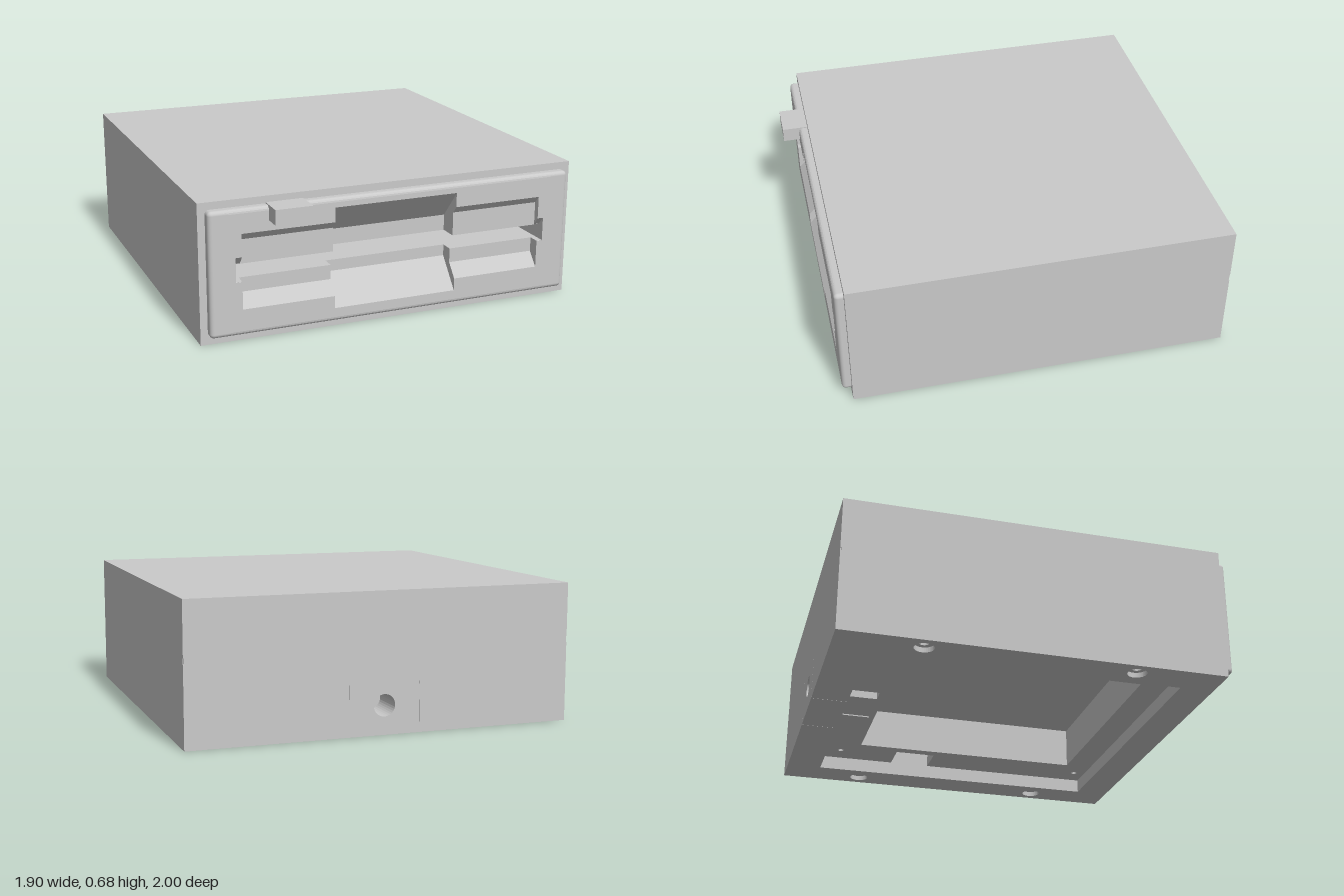
import * as THREE from 'three';
import { RoundedBoxGeometry } from 'three/addons/geometries/RoundedBoxGeometry.js';

export function createModel() {
  const group = new THREE.Group();
  const grey = new THREE.MeshStandardMaterial({ color: 0xcacaca });
  grey.name = 'grey';

  const add = (name, geometry) => {
    const mesh = new THREE.Mesh(geometry, grey);
    mesh.name = name;
    group.add(mesh);
  };
  // box given by its limits
  const box = (name, x0, x1, y0, y1, z0, z1) =>
    add(name, new THREE.BoxGeometry(x1 - x0, y1 - y0, z1 - z0)
      .translate((x0 + x1) / 2, (y0 + y1) / 2, (z0 + z1) / 2));
  const polygon = pts => new THREE.Shape(pts.map(p => new THREE.Vector2(...p)));
  const circle = (x, y, r) => new THREE.Path().absarc(x, y, r, 0, Math.PI * 2);
  const extrude = (shape, depth) =>
    new THREE.ExtrudeGeometry(shape, { depth, bevelEnabled: false, curveSegments: 16 });
  // outline in (x, z), thickened from y0 to y1
  const slab = (name, shape, y0, y1) =>
    add(name, extrude(shape, y1 - y0).rotateX(Math.PI / 2).translate(0, y1, 0));
  // outline in (z, y), thickened from x0 to x1
  const slice = (name, pts, x0, x1) =>
    add(name, extrude(polygon(pts), x1 - x0).rotateY(-Math.PI / 2).translate(x1, 0, 0));

  const W = 0.95, H = 0.675;
  const CEIL = 0.28, BOARD = 0.07;              // heights of window ceiling and board
  const RX = 0.77, RZ0 = -0.82, RZ1 = 0.7;      // limits of the underside recess

  // main body above the underside cavity
  box('caseBody', -W, W, CEIL, H, RZ0, 0.4);

  // rear wall with connector hole, two hairline slits and tiny corner notches
  const rearWall = (name, z0, z1, notch) => {
    const slit = [[0.175, 0], [0.175, 0.245], [0.1765, 0.245], [0.1765, 0], [W, 0]];
    const nick = notch ? [[W, 0.385], [W - notch, 0.385], [W - notch, 0.415], [W, 0.415]] : [];
    const right = [...slit, ...nick, [W, H]];
    const left = right.map(([x, y]) => [-x, y]).reverse();
    const shape = polygon([...right, ...left]);
    shape.holes.push(circle(0, 0.14, 0.053));
    add(name, extrude(shape, z1 - z0).translate(0, 0, z0));
  };
  rearWall('rearSkin', -1, -0.995, 0.005);
  rearWall('rearWall', -0.995, RZ0, 0);

  // underside frame with four mounting holes
  const frame = polygon([[-W, RZ0], [-RX, RZ0], [-RX, RZ1], [RX, RZ1],
    [RX, RZ0], [W, RZ0], [W, 0.78], [-W, 0.78]]);
  for (const x of [-0.87, 0.87]) for (const z of [-0.585, 0.44]) {
    frame.holes.push(circle(x, z, 0.048));
    const ring = new THREE.Shape().absarc(x, z, 0.05, 0, Math.PI * 2);
    ring.holes.push(circle(x, z, 0.025));
    slab('mountingHoleSeat', ring, 0.025, 0.05);
  }
  slab('undersideFrame', frame, 0, CEIL);

  // recessed underside board: notched edges, a large window and four small holes
  const board = polygon([[-RX, RZ0], [-0.17, RZ0], [-0.17, -0.66], [-0.09, -0.66],
    [-0.09, RZ0], [RX, RZ0], [RX, -0.42], [0.6, -0.42], [0.6, -0.21], [RX, -0.21],
    [RX, RZ1], [-RX, RZ1], [-RX, -0.2], [-0.66, -0.2], [-0.66, -0.4], [-RX, -0.4]]);
  board.holes.push(polygon([[-0.615, -0.63], [0.545, -0.63], [0.545, 0.56], [-0.615, 0.56]]));
  for (const x of [-0.705, 0.655]) for (const z of [-0.725, 0.64]) {
    board.holes.push(circle(x, z, 0.015));
  }
  slab('undersideBoard', board, BOARD, CEIL);
  box('boardStep', 0.14, 0.62, BOARD - 0.006, BOARD + 0.01, RZ0, -0.66);

  // front: jaws above and below the slot, all sloping inwards at one angle
  const FRONT = 0.915, R = 0.02, SLOPE = 0.862;
  const round = (cy, a0) => [0, 1, 2, 3, 4].map(i => {
    const a = a0 + i * Math.PI / 8;
    return [FRONT - R + R * Math.cos(a), cy + R * Math.sin(a)];
  });
  const bottomEdge = round(0.06, -Math.PI / 2), topEdge = round(0.62, 0);
  const jaws = (x0, x1, lowFront, lowBack, highBack, highFront) => {
    const lowZ = FRONT - SLOPE * (lowBack - lowFront);
    const highZ = FRONT - SLOPE * (highFront - highBack);
    slice('lowerJaw', [[0.78, 0], [0.87, 0], [0.87, 0.04], ...bottomEdge,
      [FRONT, lowFront], [lowZ, lowBack], [lowZ, 0.3], [0.4, 0.3],
      [0.4, CEIL], [0.78, CEIL]], x0, x1);
    slice('upperJaw', [[0.4, 0.375], [highZ, 0.375], [highZ, highBack], [FRONT, highFront],
      ...topEdge, [0.87, 0.64], [0.87, H], [0.4, H]], x0, x1);
  };
  jaws(-0.31, 0.31, 0.105, 0.245, 0.452, 0.595);
  for (const [x0, x1] of [[-0.76, -0.31], [0.31, 0.76]]) jaws(x0, x1, 0.165, 0.23, 0.49, 0.525);
  for (const [x0, x1] of [[-0.79, -0.76], [0.76, 0.79]]) jaws(x0, x1, 0.298, 0.299, 0.376, 0.415);

  // solid ends of the front, with rounded bezel edges
  for (const s of [-1, 1]) {
    const span = (a, b) => s > 0 ? [a, b] : [-b, -a];
    box('frontCaseSide', ...span(0.79, W), CEIL, H, 0.4, 0.87);
    box('frontCaseFoot', ...span(0.79, W), 0, CEIL, 0.78, 0.87);
    slice('bezelSide', [[0.85, 0.04], ...bottomEdge, ...topEdge, [0.85, 0.64]], ...span(0.79, 0.85));
    add('bezelEnd', new RoundedBoxGeometry(0.115, 0.6, 0.115, 3, R)
      .translate(s * 0.8575, 0.34, FRONT - 0.0575));
  }

  // guides inside the slot
  box('slotGuide', -0.76, -0.66, 0.31, 0.375, 0.45, 0.7);
  box('slotGuide', 0.53, 0.64, 0.31, 0.375, 0.45, 0.7);

  // push button
  box('ejectButton', -0.63, -0.45, 0.573, 0.645, 0.86, 1);

  return group;
}
